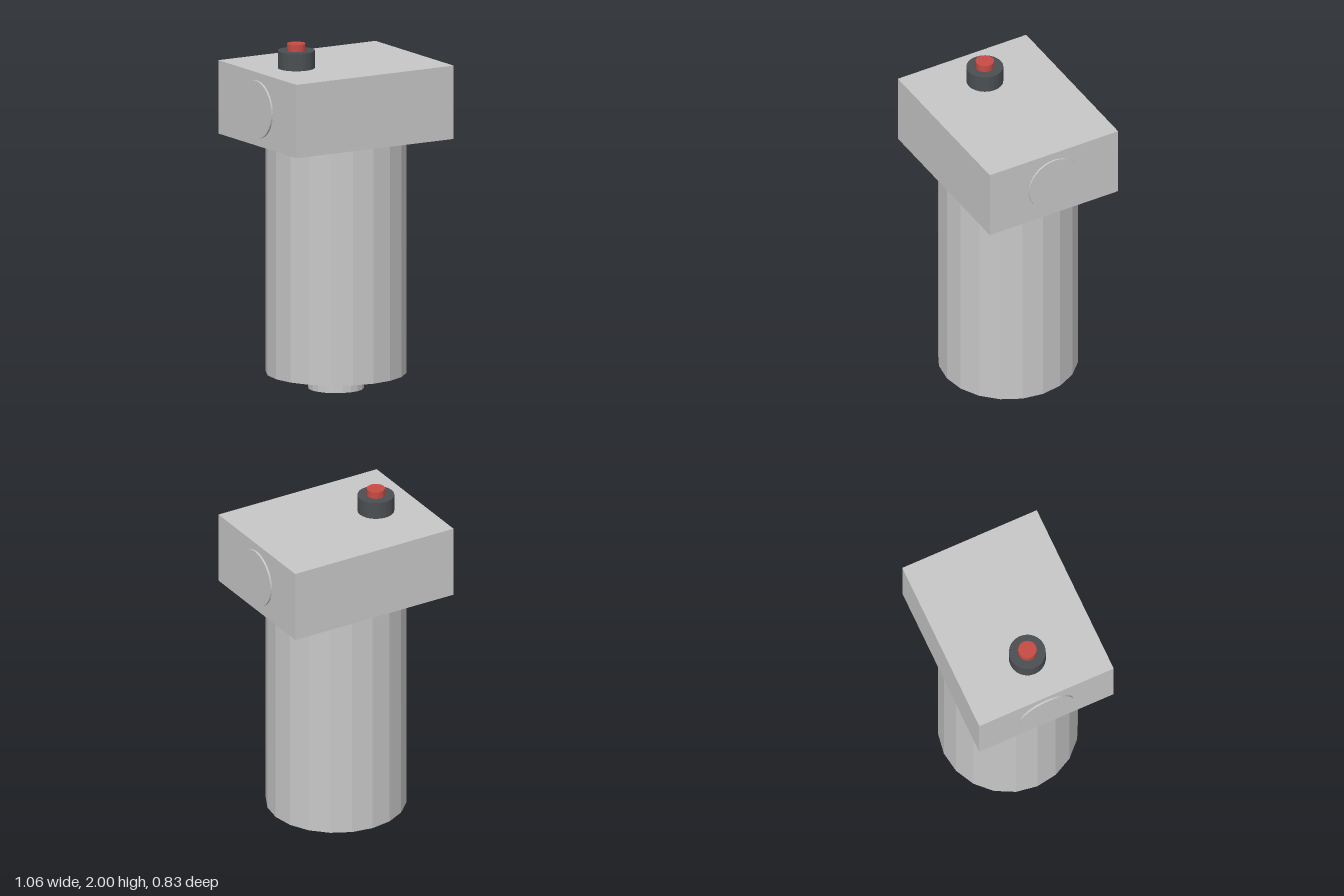
import * as THREE from 'three';

export function createModel() {
  const model = new THREE.Group();
  model.name = 'filterHousing';

  const material = (name, color) => {
    const m = new THREE.MeshStandardMaterial({ color, flatShading: true });
    m.name = name;
    return m;
  };
  const metal = material('light grey metal', 0xc8c8c8);
  const dark = material('dark grey plastic', 0x4b4f53);
  const red = material('red plastic', 0xc84c43);

  const add = (name, geometry, mat, x, y, z = 0) => {
    const mesh = new THREE.Mesh(geometry, mat);
    mesh.name = name;
    mesh.position.set(x, y, z);
    model.add(mesh);
    return mesh;
  };

  // Upright cylinder between two heights
  const post = (name, radius, y0, y1, sides, mat, x = 0) =>
    add(name, new THREE.CylinderGeometry(radius, radius, y1 - y0, sides), mat, x, (y0 + y1) / 2);

  // Bowl and drain under the head
  post('drainPlug', 0.157, 0, 0.09, 20, metal);
  post('bowl', 0.396, 0.09, 1.44, 20, metal);

  // Rectangular head
  add('head', new THREE.BoxGeometry(1.04, 0.42, 0.83), metal, 0, 1.65);

  // Thin round port faces on both sides
  for (const side of [-1, 1]) {
    const port = add(side > 0 ? 'leftPort' : 'rightPort',
      new THREE.CylinderGeometry(0.165, 0.165, 0.03, 32), metal, side * 0.516, 1.65);
    port.rotation.z = -side * Math.PI / 2;
  }

  // Indicator on top
  post('indicatorBase', 0.104, 1.86, 1.96, 24, dark, -0.262);
  post('indicatorButton', 0.052, 1.96, 2, 20, red, -0.262);

  return model;
}
